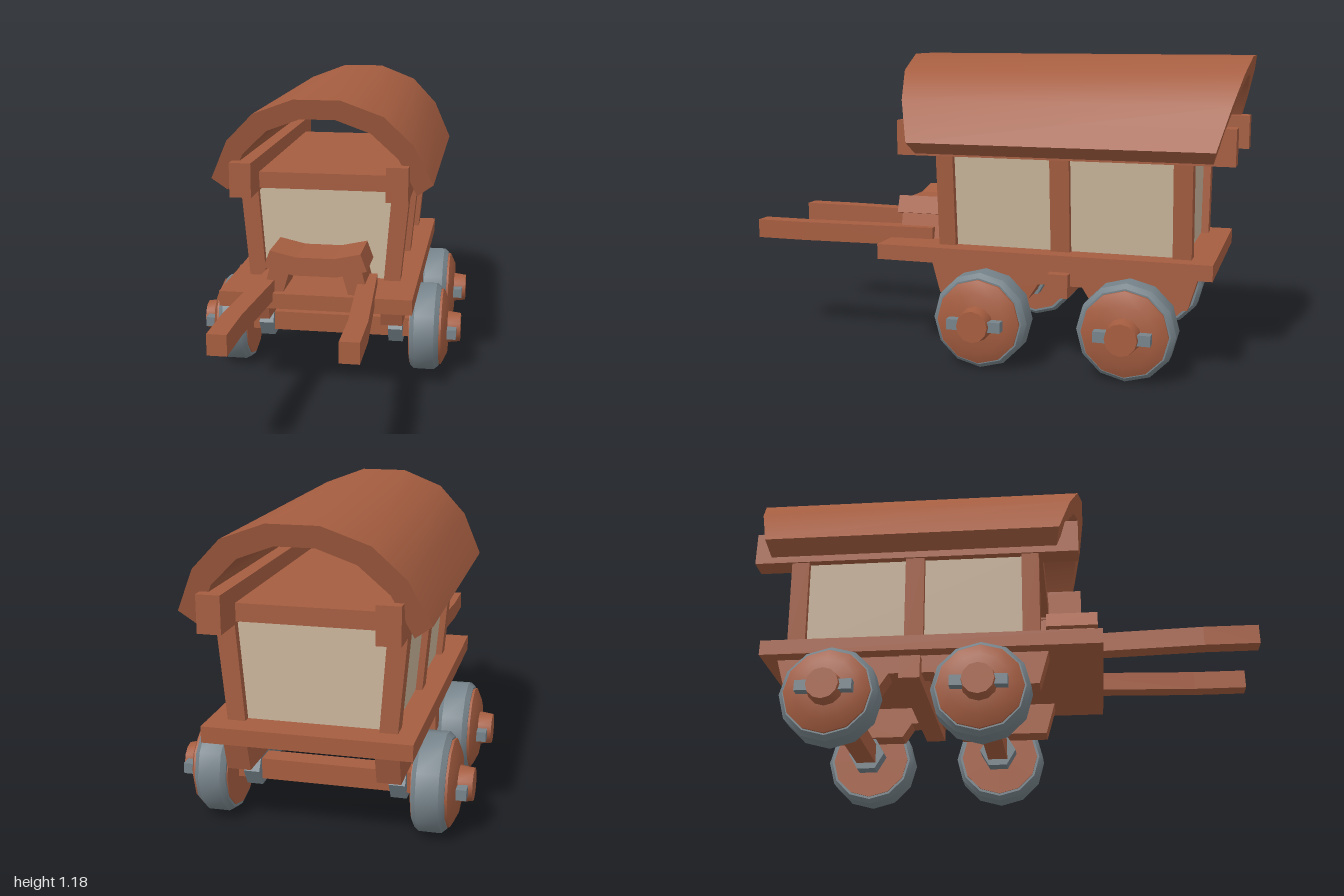
import * as THREE from 'three';
import { toCreasedNormals } from 'three/addons/utils/BufferGeometryUtils.js';

const wood = new THREE.MeshStandardMaterial({ color: 0xa55d40 });
wood.name = 'wood';
const canvas = new THREE.MeshStandardMaterial({ color: 0xcab59b });
canvas.name = 'canvas';
const iron = new THREE.MeshStandardMaterial({ color: 0x76838a });
iron.name = 'iron';

export function createModel() {
  const model = new THREE.Group();
  model.name = 'wagon';

  function add(name, geometry, material = wood, parent = model) {
    const mesh = new THREE.Mesh(geometry, material);
    mesh.name = name;
    parent.add(mesh);
    return mesh;
  }
  // box given by its limits on each axis
  function box(x0, x1, y0, y1, z0, z1) {
    return new THREE.BoxGeometry(x1 - x0, y1 - y0, z1 - z0)
      .translate((x0 + x1) / 2, (y0 + y1) / 2, (z0 + z1) / 2);
  }
  // flat outline pushed through a depth along +z
  function extrude(points, depth) {
    const shape = new THREE.Shape(points.map(([x, y]) => new THREE.Vector2(x, y)));
    return new THREE.ExtrudeGeometry(shape, { depth, bevelEnabled: false });
  }
  function prism(points, z0, z1) {
    return extrude(points, z1 - z0).translate(0, 0, z0);
  }
  // right half outline followed by its mirrored left half
  function mirrored(half) {
    return [...half, ...half.map(([x, y]) => [-x, y]).reverse()];
  }
  function lathe(points) {
    const g = new THREE.LatheGeometry(points.map(([r, y]) => new THREE.Vector2(r, y)), 12);
    return toCreasedNormals(g.rotateZ(-Math.PI / 2), 0.6);
  }

  // deck and cabin
  add('deck', box(-0.375, 0.375, 0.38, 0.44, -0.905, 0.405));
  add('cabinWalls', prism([[-0.28, 0.44], [0.28, 0.44], [0.315, 0.81], [-0.315, 0.81]], -0.79, 0.14), canvas);
  add('ceiling', box(-0.265, 0.265, 0.805, 0.87, -0.83, 0.18));

  // barrel roof, both ends raked outward towards the top
  const outer = [[0.435, 0.853], [0.36, 1.01], [0.25, 1.12], [0.09, 1.18]];
  const inner = [[0.068, 1.104], [0.2, 1.054], [0.302, 0.955], [0.373, 0.806]];
  const outline = [
    ...outer, ...outer.map(([x, y]) => [-x, y]).reverse(),
    ...inner.map(([x, y]) => [-x, y]).reverse(), ...inner,
  ];
  const roof = extrude(outline, 1);
  const p = roof.attributes.position;
  for (let i = 0; i < p.count; i++) {
    const rake = (1.18 - p.getY(i)) * 0.28;
    p.setZ(i, p.getZ(i) > 0.5 ? 0.345 - rake : -1 + rake);
  }
  add('roof', toCreasedNormals(roof, 0.5));

  for (const s of [-1, 1]) {
    const side = s > 0 ? 'left' : 'right';

    // beam carrying the roof
    add(side + 'RoofBeam', box(s > 0 ? 0.26 : -0.345, s > 0 ? 0.345 : -0.26, 0.795, 0.93, -0.97, 0.325));

    // leaning wall posts
    for (const [z0, z1] of [[0.1, 0.168], [-0.36, -0.285], [-0.82, -0.75]]) {
      add(side + 'Post', prism(
        [[0.24, 0.43], [0.305, 0.43], [0.34, 0.82], [0.27, 0.82]].map(([x, y]) => [s * x, y]), z0, z1));
    }

    // notched chassis rail below the deck
    const rail = extrude([
      [0.2, 0.385], [0.163, 0.25], [-0.2, 0.25], [-0.238, 0.31],
      [-0.412, 0.31], [-0.45, 0.25], [-0.81, 0.25], [-0.85, 0.385],
    ], 0.087).rotateY(-Math.PI / 2).translate(s > 0 ? 0.317 : -0.23, 0, 0);
    add(side + 'ChassisRail', rail);

    // pulling shaft, bent towards the deck
    const shaft = extrude([
      [0.257, -1], [0.257, -0.79], [0.222, -0.23], [0.152, -0.23], [0.187, -0.79], [0.187, -1],
    ].map(([x, y]) => [s * x, y]), 0.076).rotateX(-Math.PI / 2).translate(0, 0.41, 0);
    add(side + 'Shaft', shaft);

    // splayed seat leg
    add(side + 'SeatLeg', prism(
      [[0.128, 0.435], [0.205, 0.435], [0.175, 0.55], [0.1, 0.53]].map(([x, y]) => [s * x, y]), 0.197, 0.376));
  }

  // dished driver's seat
  add('seat', prism([
    ...mirrored([[0.2, 0.54], [0.175, 0.607], [0.073, 0.584]]),
    [-0.083, 0.512], [0.083, 0.512],
  ], 0.185, 0.39));

  add('crossMember', box(-0.36, 0.36, 0.272, 0.363, -0.365, -0.285));

  // axles with their clamps and wheels
  for (const z of [-0.045, -0.605]) {
    const axleSet = new THREE.Group();
    axleSet.name = z > -0.3 ? 'frontAxleSet' : 'rearAxleSet';
    axleSet.position.set(0, 0.185, z);
    model.add(axleSet);
    add('axle', box(-0.36, 0.36, -0.04, 0.04, -0.04, 0.04), wood, axleSet);

    for (const s of [-1, 1]) {
      const wheel = new THREE.Group();
      wheel.name = s > 0 ? 'leftWheel' : 'rightWheel';
      wheel.rotation.y = s > 0 ? 0 : Math.PI;
      axleSet.add(wheel);

      // six-sided clamp, corners pointing fore and aft
      const clamp = new THREE.CylinderGeometry(0.075, 0.075, 0.06, 6).toNonIndexed();
      clamp.computeVertexNormals();
      add('axleClamp', clamp.rotateZ(-Math.PI / 2).translate(0.275, 0, 0), iron, wheel);

      add('tyre', lathe([
        [0.15, 0.342], [0.17, 0.342], [0.185, 0.36], [0.185, 0.442], [0.168, 0.461], [0.15, 0.461],
      ]), iron, wheel);
      add('wheelDisc', lathe([
        [0, 0.338], [0.16, 0.338], [0.162, 0.47], [0.115, 0.492], [0, 0.492],
      ]), wood, wheel);
      add('hub', lathe([[0.068, 0.485], [0.06, 0.545], [0, 0.545]]), wood, wheel);
      add('linchPin', box(0.49, 0.53, -0.02, 0.02, -0.105, 0.105), iron, wheel);
    }
  }

  return model;
}
